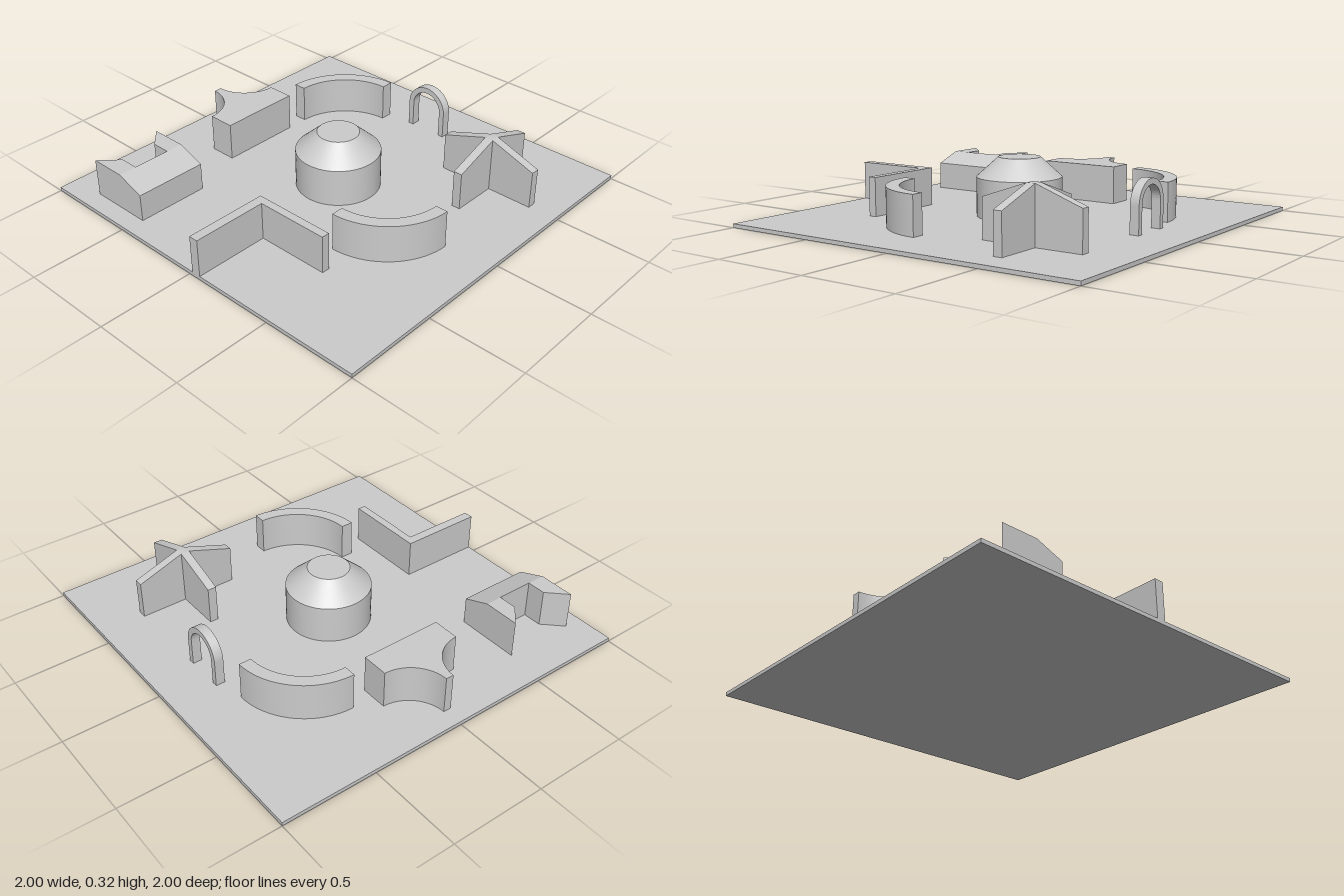
import * as THREE from 'three';
import { toCreasedNormals } from 'three/addons/utils/BufferGeometryUtils.js';

const FLOOR = 0.02, TOP = 0.22;

export function createModel() {
  const model = new THREE.Group();
  const material = new THREE.MeshStandardMaterial({ color: 0xcccccc });

  const add = (name, geometry, parent = model) => {
    const mesh = new THREE.Mesh(geometry, material);
    mesh.name = name;
    parent.add(mesh);
    return mesh;
  };
  const group = (name) => {
    const g = new THREE.Group();
    g.name = name;
    model.add(g);
    return g;
  };
  const polygon = (points) => new THREE.Shape(points.map(([x, y]) => new THREE.Vector2(x, y)));
  const extrude = (shape, depth) => toCreasedNormals(
    new THREE.ExtrudeGeometry(shape, { depth, bevelEnabled: false, curveSegments: 32 }), 0.5);
  // Footprint drawn as (x, -z), raised from the floor to wall height
  const raise = (shape) => extrude(shape, TOP - FLOOR).rotateX(-Math.PI / 2).translate(0, FLOOR, 0);
  const footprint = (points) => raise(polygon(points.map(([x, z]) => [x, -z])));

  // Ground slab
  add('base', new THREE.BoxGeometry(2, FLOOR, 2).translate(0, FLOOR / 2, 0));

  // Central round tower with a truncated cone roof
  const tower = group('roundTower');
  add('towerDrum', new THREE.CylinderGeometry(0.217, 0.217, TOP - FLOOR, 64, 1, true), tower).position.y = (TOP + FLOOR) / 2;
  add('towerRoof', new THREE.CylinderGeometry(0.107, 0.217, 0.1, 64, 1), tower).position.y = TOP + 0.05;

  // Quarter-ring walls
  const curvedWall = (name, x, z, outer, inner, start) => {
    const shape = new THREE.Shape();
    shape.absarc(x, -z, outer, start, start + Math.PI / 2, false);
    shape.absarc(x, -z, inner, start + Math.PI / 2, start, true);
    add(name, raise(shape));
  };
  curvedWall('backCurvedWall', -0.255, -0.333, 0.375, 0.31, Math.PI / 2);
  curvedWall('frontCurvedWall', 0.37, 0.065, 0.375, 0.31, -Math.PI / 2);

  // L-shaped wall reaching the front edge
  add('cornerWall', footprint([
    [0.02, 0.56], [0.02, 1], [0.07, 1], [0.07, 0.602], [0.46, 0.602], [0.46, 0.56],
  ]));

  // Block with two scooped corners
  const scooped = new THREE.Shape();
  scooped.moveTo(-0.565, -0.218);
  scooped.lineTo(-0.565, 0.218);
  scooped.lineTo(-0.707, 0.218);
  scooped.absarc(-0.904, 0.218, 0.197, 0, -Math.PI / 2, true);
  scooped.lineTo(-0.904, -0.021);
  scooped.absarc(-0.904, -0.218, 0.197, Math.PI / 2, 0, true);
  scooped.closePath();
  add('scoopedBlock', raise(scooped));

  // Hall with a sloping roof and two pointed wings
  const hall = group('wingedHall');
  add('hallBody', extrude(polygon([
    [-0.61, FLOOR], [-0.463, FLOOR], [-0.463, 0.165], [-0.61, TOP],
  ]), 0.386).translate(0, 0, 0.514), hall);
  add('backWing', footprint([[-0.805, 0.514], [-0.71, 0.604], [-0.61, 0.604], [-0.61, 0.514]]), hall);
  add('frontWing', footprint([[-0.805, 0.9], [-0.61, 0.9], [-0.61, 0.803], [-0.71, 0.803]]), hall);

  // Crossed walls rising to a flat peak
  const cross = group('crossWalls');
  cross.position.set(0.583, 0, -0.492);
  const gable = polygon([
    [-0.268, FLOOR], [0.268, FLOOR], [0.268, TOP], [0.023, 0.305], [-0.023, 0.305], [-0.268, TOP],
  ]);
  ['sideGableWall', 'frontGableWall'].forEach((name, i) => {
    add(name, extrude(gable, 0.046).translate(0, 0, -0.023).rotateY(i * Math.PI / 2), cross);
  });

  // Thin round-headed arch
  const arch = new THREE.Shape();
  arch.moveTo(0.088, FLOOR);
  arch.lineTo(0.118, FLOOR);
  arch.absarc(0, 0.158, 0.118, 0, Math.PI, false);
  arch.lineTo(-0.118, FLOOR);
  arch.lineTo(-0.088, FLOOR);
  arch.absarc(0, 0.158, 0.088, Math.PI, 0, true);
  arch.closePath();
  add('arch', extrude(arch, 0.048).translate(0, 0, -0.757));

  return model;
}
